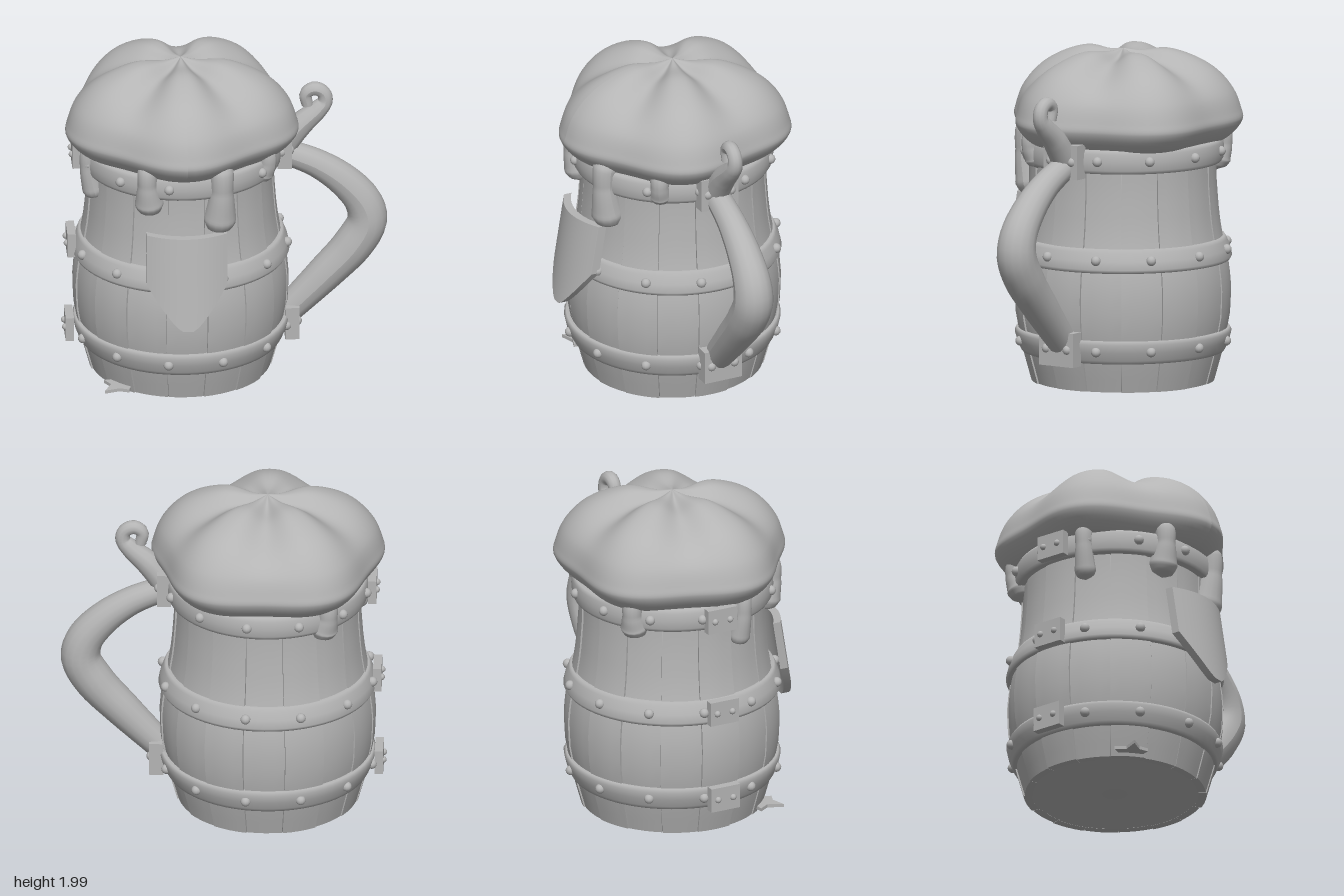
import * as THREE from 'three';

const CX = -0.26, CZ = -0.05; // barrel axis
const grey = new THREE.MeshStandardMaterial({ color: 0xb4b4b4 });
grey.name = 'plain grey';

const v2 = (pts) => pts.map(([x, y]) => new THREE.Vector2(x, y));
const v3 = (pts) => pts.map((p) => new THREE.Vector3(...p));
const rad = THREE.MathUtils.degToRad;

// Barrel outline: radius for each height
const outline = [[0, 0.54], [0.2, 0.595], [0.4, 0.632], [0.55, 0.64], [0.7, 0.628], [0.85, 0.592], [1, 0.568], [1.2, 0.553], [1.45, 0.55]];
function barrelRadius(y) {
  for (let i = 1; i < outline.length; i++) {
    const [y0, r0] = outline[i - 1], [y1, r1] = outline[i];
    if (y <= y1) return r0 + (r1 - r0) * (y - y0) / (y1 - y0);
  }
  return 0.55;
}

// Tube whose radius changes along its path; radii match the points
function taperedTube(points, radii, steps = 28, sides = 16) {
  const curve = new THREE.CatmullRomCurve3(v3(points));
  const geo = new THREE.TubeGeometry(curve, steps, 1, sides);
  const pos = geo.attributes.position, p = new THREE.Vector3();
  for (let i = 0; i < pos.count; i++) {
    const u = Math.floor(i / (sides + 1)) / steps;
    const t = curve.getUtoTmapping(u) * (radii.length - 1);
    const k = Math.min(Math.floor(t), radii.length - 2);
    const r = THREE.MathUtils.lerp(radii[k], radii[k + 1], t - k);
    const c = curve.getPointAt(u);
    p.fromBufferAttribute(pos, i).sub(c).multiplyScalar(r).add(c);
    pos.setXYZ(i, p.x, p.y, p.z);
  }
  geo.computeVertexNormals();
  return geo;
}

// One stave: a box bent around the axis and bulged to the outline
function staveGeometry(a0, a1, offset) {
  const geo = new THREE.BoxGeometry(1, 1, 1, 4, 18, 1);
  const pos = geo.attributes.position;
  for (let i = 0; i < pos.count; i++) {
    const a = a0 + (a1 - a0) * (pos.getX(i) + 0.5);
    const y = (pos.getY(i) + 0.5) * 1.45;
    const r = barrelRadius(y) + offset + (pos.getZ(i) - 0.5) * 0.05;
    pos.setXYZ(i, Math.sin(a) * r, y, Math.cos(a) * r);
  }
  geo.computeVertexNormals();
  return geo;
}

// Foam cap: five lobes with creases running to the peak
function foamGeometry() {
  const profile = new THREE.CatmullRomCurve3(v3([
    [0, 1.44, 0], [0.5, 1.43, 0], [0.59, 1.46, 0], [0.675, 1.565, 0], [0.665, 1.63, 0], [0.625, 1.74, 0],
    [0.53, 1.86, 0], [0.41, 1.94, 0], [0.26, 1.99, 0], [0.1, 1.98, 0], [0, 1.99, 0]]));
  const pts = profile.getPoints(50).map((p) => new THREE.Vector2(Math.max(p.x, 0), p.y));
  const geo = new THREE.LatheGeometry(pts, 100);
  const pos = geo.attributes.position;
  for (let i = 0; i < pos.count; i++) {
    const x = pos.getX(i), y = pos.getY(i), z = pos.getZ(i);
    const a = Math.atan2(x, z), r = Math.hypot(x, z);
    const crease = Math.pow(Math.abs(Math.sin(2.5 * a)), 3);
    const upper = THREE.MathUtils.smoothstep(y, 1.6, 1.9);
    const s = 1 + 0.055 * Math.cos(5 * a) * THREE.MathUtils.smoothstep(r, 0.1, 0.6);
    const drop = 0.075 * crease * upper * Math.sin(Math.PI * Math.min(r / 0.7, 1));
    pos.setXYZ(i, x * s, y - drop, z * s);
  }
  geo.computeVertexNormals();
  return geo;
}

// Shield: a box trimmed to a pointed foot, curved across and leaning outward
function shieldGeometry() {
  const geo = new THREE.BoxGeometry(0.48, 1, 0.05, 16, 4, 1);
  const pos = geo.attributes.position;
  for (let i = 0; i < pos.count; i++) {
    const x = pos.getX(i);
    const foot = 0.54 + 0.26 * Math.pow(Math.max(Math.abs(x) - 0.03, 0) / 0.21, 1.3);
    const y = THREE.MathUtils.lerp(foot, 1.105, pos.getY(i) + 0.5);
    pos.setXYZ(i, x, y, pos.getZ(i) + 0.6 + (1.105 - y) * 0.16 - 1.3 * x * x);
  }
  geo.computeVertexNormals();
  return geo;
}

export function createModel() {
  const model = new THREE.Group();
  model.name = 'tankard';
  const body = new THREE.Group(); // parts placed around the barrel axis
  body.name = 'barrelBody';
  body.position.set(CX, 0, CZ);
  model.add(body);

  const add = (name, geo, pos = [0, 0, 0], parent = model) => {
    const mesh = new THREE.Mesh(geo, grey);
    mesh.name = name;
    mesh.position.set(...pos);
    parent.add(mesh);
    return mesh;
  };
  const rivetGeo = new THREE.SphereGeometry(0.03, 12, 8);
  const smallRivetGeo = new THREE.SphereGeometry(0.02, 10, 8);

  // Inner core and staves
  add('barrelCore', new THREE.LatheGeometry(v2([[0, 0.001], [0.525, 0.001],
    ...outline.slice(1).map(([y, r]) => [r - 0.015, y]), [0, 1.45]]), 48), [0, 0, 0], body);
  const staves = 16, step = Math.PI * 2 / staves;
  for (let i = 0; i < staves; i++) {
    const a = (i - 0.5) * step;
    add('stave', staveGeometry(a + 0.003, a + step - 0.003, ((i * 7) % 5 - 2) * 0.003), [0, 0, 0], body);
  }

  // Rounded hoops with twelve rivets each
  for (const [y, rLow, rHigh] of [[0.25, 0.602, 0.632], [0.8, 0.636, 0.605], [1.39, 0.585, 0.585]]) {
    const h = 0.07, mid = (rLow + rHigh) / 2 + 0.016;
    const hoop = new THREE.LatheGeometry(v2([[0.53, y - h], [rLow, y - h], [rLow + 0.012, y - h * 0.7],
      [mid, y], [rHigh + 0.012, y + h * 0.7], [rHigh, y + h], [0.53, y + h]]), 64);
    add('hoop', hoop, [0, 0, 0], body);
    for (let i = 0; i < 12; i++) {
      const a = rad(20 + 30 * i);
      add('hoopRivet', rivetGeo, [Math.sin(a) * mid, y + 0.005, Math.cos(a) * mid], body);
    }
  }

  // Foam and its drips: angle, top, bottom, neck radius, bulb radius
  add('foam', foamGeometry(), [0, 0, 0], body);
  const drips = [[-23, 1.53, 1.2, 0.058, 0.088], [21, 1.53, 1.08, 0.068, 0.1], [57, 1.51, 1.3, 0.055, 0.068],
    [-72, 1.5, 1.16, 0.05, 0.065], [-141, 1.51, 1.25, 0.06, 0.085]];
  for (const [deg, top, bottom, neck, bulb] of drips) {
    const a = rad(deg), h = top - bottom;
    const path = [[0.54, top], [0.58, top - h * 0.1], [0.59, top - h * 0.38], [0.56, bottom + bulb * 0.9],
      [0.55, bottom + bulb * 0.3], [0.55, bottom]];
    add('foamDrip', taperedTube(path.map(([r, y]) => [Math.sin(a) * r, y, Math.cos(a) * r]),
      [0.02, neck * 1.1, neck, bulb, bulb * 0.75, 0.001]), [0, 0, 0], body);
  }

  // Handle with its two mounting plates
  add('handle', taperedTube(
    [[0.33, 1.36, CZ], [0.55, 1.265, CZ], [0.72, 1.14, CZ], [0.83, 1, CZ], [0.85, 0.88, CZ], [0.77, 0.73, CZ], [0.6, 0.54, CZ], [0.38, 0.31, CZ]],
    [0.075, 0.085, 0.1, 0.113, 0.12, 0.12, 0.108, 0.088], 40));
  for (const [x, y] of [[0.352, 1.392], [0.398, 0.268]]) {
    add('handlePlate', new THREE.BoxGeometry(0.085, 0.205, 0.245), [x, y, CZ]);
    for (const s of [-1, 1]) add('handlePlateRivet', rivetGeo, [x + 0.03, y, CZ + s * 0.075]);
  }

  // Thumb lever curling into a loop
  add('thumbLever', taperedTube(
    [[0.33, 1.37, CZ], [0.45, 1.52, CZ], [0.56, 1.62, CZ], [0.6, 1.67, CZ], [0.59, 1.73, CZ], [0.535, 1.757, CZ], [0.485, 1.725, CZ], [0.495, 1.65, CZ]],
    [0.085, 0.075, 0.057, 0.045, 0.042, 0.042, 0.038, 0.034], 40, 12));

  // Small plates on the side opposite the handle
  for (const [x, y] of [[-0.925, 0.255], [-0.915, 0.807], [-0.885, 1.39]]) {
    add('sidePlate', new THREE.BoxGeometry(0.05, 0.15, 0.19), [x, y, CZ]);
    for (const s of [-1, 1]) add('sidePlateRivet', smallRivetGeo, [x - 0.025, y, CZ + s * 0.05]);
  }

  add('shield', shieldGeometry(), [CX, 0, 0]);

  // Flat ragged spill at the foot
  const spillShape = new THREE.Shape(v2([0.12, 0.07, 0.11, 0.06, 0.14, 0.07, 0.1, 0.07, 0.12, 0.06].map((r, i) => {
    const a = Math.PI * 2 * i / 10;
    return [Math.cos(a) * r, Math.sin(a) * r];
  })));
  const spill = add('spill', new THREE.ExtrudeGeometry(spillShape, { depth: 0.02, bevelEnabled: false }), [-0.64, 0.02, 0.35]);
  spill.rotation.set(-Math.PI / 2, 0, rad(80));

  return model;
}
